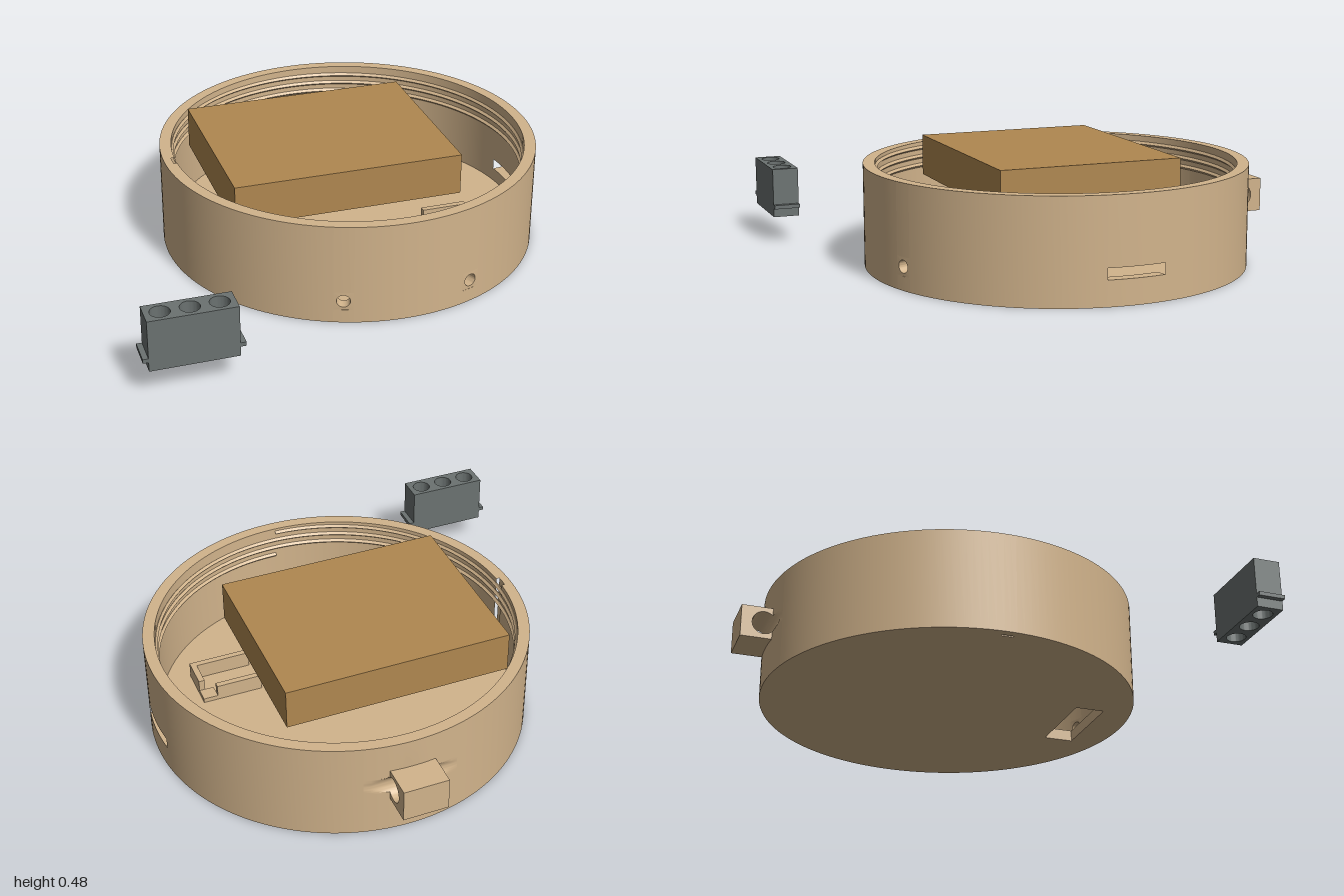
import * as THREE from 'three';
import { toCreasedNormals, mergeGeometries } from 'three/addons/utils/BufferGeometryUtils.js';

const R = 0.82, RI = 0.77, H = 0.44, FLOOR = 0.05;

export function createModel() {
  const model = new THREE.Group();
  const tan = new THREE.MeshStandardMaterial({ color: 0xd2b48c });
  const brown = new THREE.MeshStandardMaterial({ color: 0xb08850 });
  const slate = new THREE.MeshStandardMaterial({ color: 0x6b7271 });
  tan.name = 'tan'; brown.name = 'brown'; slate.name = 'slate grey';

  const add = (parent, name, geometry, material) => {
    const mesh = new THREE.Mesh(geometry, material);
    mesh.name = name;
    parent.add(mesh);
    return mesh;
  };
  // Box given by its minimum and maximum corners
  const block = (parent, name, material, a, b) => {
    const mesh = add(parent, name, new THREE.BoxGeometry(b[0] - a[0], b[1] - a[1], b[2] - a[2]), material);
    mesh.position.set((a[0] + b[0]) / 2, (a[1] + b[1]) / 2, (a[2] + b[2]) / 2);
    return mesh;
  };
  const rect = (S, x0, y0, x1, y1) => new S([[x0, y0], [x1, y0], [x1, y1], [x0, y1]].map(p => new THREE.Vector2(...p)));
  const extrude = (shape, depth, curveSegments = 24) =>
    new THREE.ExtrudeGeometry(shape, { depth, curveSegments, bevelEnabled: false });
  const creased = g => toCreasedNormals(g, 0.5);

  const cup = new THREE.Group();
  cup.name = 'cup';
  cup.position.set(0.165, 0, -0.05);
  model.add(cup);

  // Wall pieces: solid sectors between two angles and two heights
  const walls = [];
  const sector = (a, b, y0 = 0, y1 = H, inner = RI, rows = []) => {
    const profile = [[inner, y0], [R, y0], ...rows.map(y => [R, y]), [R, y1], [inner, y1], [inner, y0]]
      .map(p => new THREE.Vector2(...p));
    const g = new THREE.LatheGeometry(profile, Math.max(2, Math.ceil((b - a) / 0.04)), a, b - a);
    walls.push(g);
    return g;
  };

  // Wall sector pierced by a small round hole
  const holeAngle = 0.342, holeHalf = 0.05;
  for (const s of [-1, 1]) {
    const a = s * holeAngle - holeHalf, b = s * holeAngle + holeHalf;
    sector(a, b, 0, 0.06);
    sector(a, b, 0.14, H);
    const patch = rect(THREE.Shape, a, 0.06, b, 0.14);
    patch.holes.push(new THREE.Path().absellipse(s * holeAngle, 0.1, 0.035, 0.027, 0, Math.PI * 2, true));
    const g = extrude(patch, R - RI);
    const p = g.attributes.position;
    for (let i = 0; i < p.count; i++) {
      const r = RI + p.getZ(i), phi = p.getX(i);
      p.setXYZ(i, r * Math.sin(phi), p.getY(i), r * Math.cos(phi));
    }
    walls.push(g);
  }

  // Side slot, locking notch and plain stretches
  const Q = Math.PI / 2, slot = 0.15, notch = 0.033, back = 0.25;
  sector(Q - slot, Q + slot, 0, 0.108);
  sector(Q - slot, Q + slot, 0.155, H);
  sector(-Q - notch, -Q + notch, 0, H, 0.785);
  sector(-Math.PI + back, -Q - notch);
  sector(-Q + notch, -holeAngle - holeHalf);
  sector(-holeAngle + holeHalf, holeAngle - holeHalf);
  sector(holeAngle + holeHalf, Q - slot);
  sector(Q + slot, Math.PI - back);

  // Back stretch, hollowed where the lug's bore grazes the wall
  const bore = { z: -0.85, y: 0.238, r: 0.052 };
  const rows = Array.from({ length: 25 }, (_, i) => bore.y - bore.r * Math.cos(i / 24 * Math.PI));
  const grooved = sector(Math.PI - back, Math.PI + back, 0, H, RI, rows);
  const gp = grooved.attributes.position;
  for (let i = 0; i < gp.count; i++) {
    const dy = gp.getY(i) - bore.y;
    if (Math.abs(dy) >= bore.r || Math.hypot(gp.getX(i), gp.getZ(i)) < 0.8) continue;
    gp.setZ(i, Math.max(gp.getZ(i), bore.z + Math.sqrt(bore.r ** 2 - dy * dy)));
  }
  add(cup, 'wall', mergeGeometries(walls.map(g => creased(g))), tan);

  // Floor with a rectangular window
  const disc = new THREE.Shape().absarc(0, 0, 0.775, 0, Math.PI * 2);
  disc.holes.push(rect(THREE.Path, -0.185, -0.67, 0.19, -0.54));
  add(cup, 'floor', creased(extrude(disc, FLOOR, 100).rotateX(-Q)), tan);

  // Internal screw thread
  class Helix extends THREE.Curve {
    getPoint(t, out = new THREE.Vector3()) {
      const a = t * Math.PI * 6;
      return out.set(0.769 * Math.sin(a), 0.3 + 0.12 * t, 0.769 * Math.cos(a));
    }
  }
  add(cup, 'screwThread', creased(new THREE.TubeGeometry(new Helix(), 300, 0.01, 4)), tan);

  // Bored lug at the back
  const lugShape = rect(THREE.Shape, 0.78, 0.165, 0.95, 0.31);
  lugShape.holes.push(new THREE.Path().absarc(-bore.z, bore.y, bore.r, 0, Math.PI * 2, true));
  add(cup, 'lug', creased(extrude(lugShape, 0.195).rotateY(Q).translate(-0.0975, 0, 0)), tan);

  // Small square post near the wall
  const post = block(cup, 'post', tan, [-0.035, FLOOR - 0.01, -0.035], [0.035, 0.15, 0.035]);
  post.position.x = -0.51;
  post.position.z = 0.508;
  post.rotation.y = Math.PI / 4;

  // Low holder walls on the floor
  const holder = new THREE.Group();
  holder.name = 'holder';
  model.add(holder);
  block(holder, 'holderBack', tan, [0.46, 0.04, 0.112], [0.662, 0.12, 0.138]);
  block(holder, 'holderFront', tan, [0.46, 0.04, 0.286], [0.726, 0.12, 0.312]);
  block(holder, 'holderSide', tan, [0.7, 0.04, 0.175], [0.726, 0.12, 0.3]);
  block(holder, 'holderCorner', tan, [0.662, 0.04, 0.112], [0.726, 0.07, 0.175]);

  // Flat pack held above the floor
  block(model, 'pack', brown, [-0.452, 0.3, -0.455], [0.542, 0.48, 0.345]);

  // Separate connector with three bores and side tabs
  const connector = new THREE.Group();
  connector.name = 'connector';
  model.add(connector);
  const face = rect(THREE.Shape, -0.968, -1, -0.613, -0.885);
  for (const x of [-0.905, -0.79, -0.675])
    face.holes.push(new THREE.Path().absarc(x, -0.9425, 0.04, 0, Math.PI * 2, true));
  add(connector, 'connectorBody', creased(extrude(face, 0.218).rotateX(-Q).translate(0, 0.118, 0)), slate);
  block(connector, 'rightTab', slate, [-0.99, 0.158, 0.885], [-0.965, 0.175, 1]);
  block(connector, 'leftTab', slate, [-0.616, 0.158, 0.885], [-0.59, 0.175, 1]);

  return model;
}
